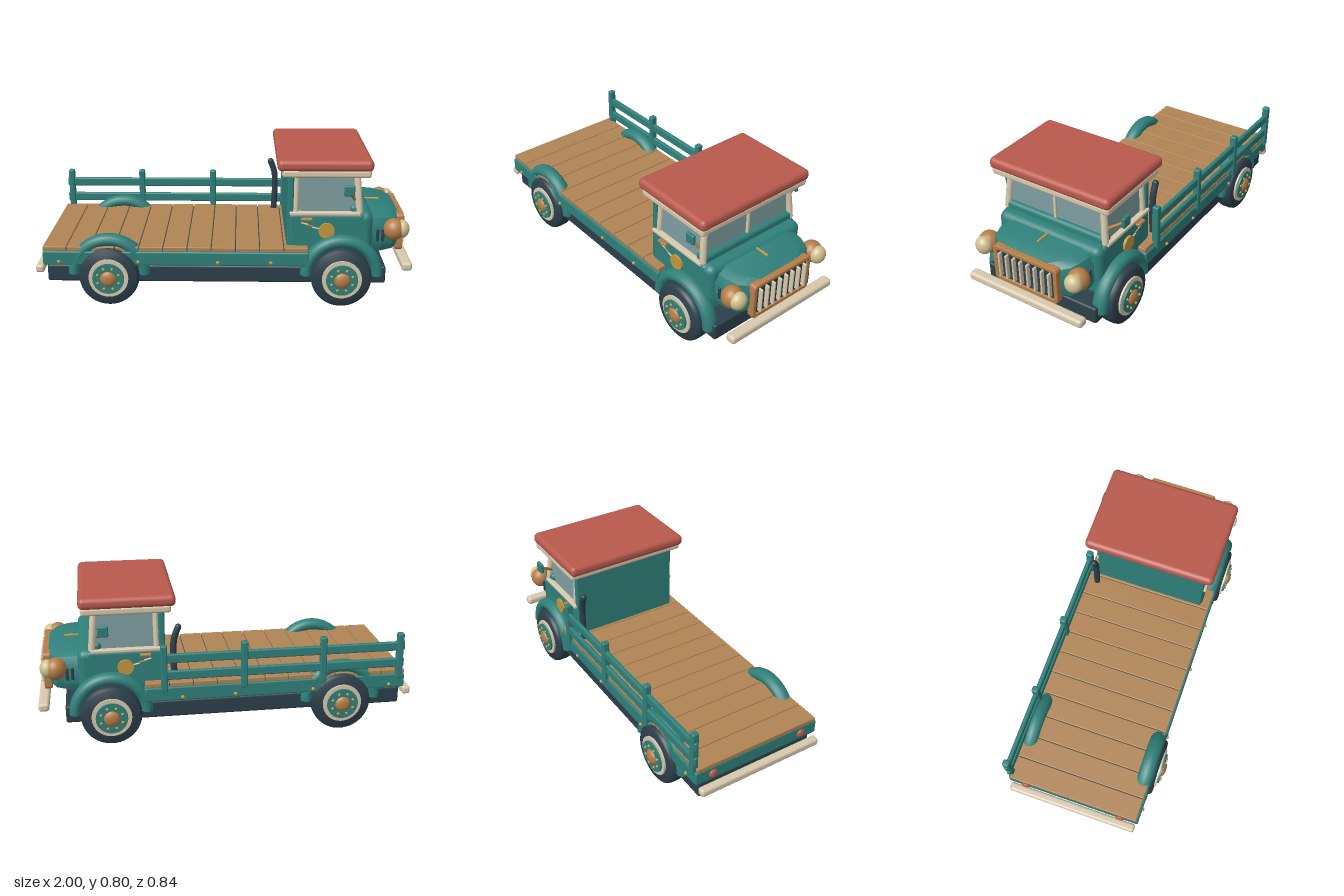
import * as THREE from 'three';
import { RoundedBoxGeometry } from 'three/addons/geometries/RoundedBoxGeometry.js';
import { toCreasedNormals } from 'three/addons/utils/BufferGeometryUtils.js';

const mat = (name, color) => Object.assign(new THREE.MeshStandardMaterial({ color }), { name });

export function createModel() {
  const teal = mat('teal paint', 0x2f807a), wood = mat('plank wood', 0xb08455), copper = mat('copper', 0xb57e48);
  const dark = mat('dark slate', 0x2c3f4a), cream = mat('cream', 0xd8c9ae), red = mat('roof red', 0xb9594d);
  const glass = mat('window glass', 0x7f9fa1), brass = mat('brass', 0xc4963f), lens = mat('lamp lens', 0xd2c190);
  const truck = new THREE.Group();
  truck.name = 'flatbedTruck';

  const add = (name, geo, m, x = 0, y = 0, z = 0, parent = truck) => {
    const mesh = new THREE.Mesh(geo, m);
    mesh.name = name;
    mesh.position.set(x, y, z);
    parent.add(mesh);
    return mesh;
  };
  // Rounded box given by its limits on each axis
  const box = (name, m, x0, x1, y0, y1, z0, z1, r = 0.008) =>
    add(name, new RoundedBoxGeometry(x1 - x0, y1 - y0, z1 - z0, 3, r), m, (x0 + x1) / 2, (y0 + y1) / 2, (z0 + z1) / 2);
  // Disc or drum with its axis along z
  const drum = (name, m, r, depth, x, y, z, parent = truck) =>
    add(name, new THREE.CylinderGeometry(r, r, depth, 32).rotateX(Math.PI / 2), m, x, y, z, parent);
  // Round tube through a few points
  const tube = (name, m, r, pts) => {
    const path = new THREE.CatmullRomCurve3(pts.map(p => new THREE.Vector3(...p)));
    add(name, new THREE.TubeGeometry(path, 16, r, 12), m);
    for (const p of [pts[0], pts[pts.length - 1]]) add(name + 'End', new THREE.SphereGeometry(r, 12, 8), m, ...p);
  };

  // Chassis and bumpers
  box('chassis', dark, -0.94, 0.86, 0.12, 0.215, -0.34, 0.34, 0.012);
  box('frontBumper', cream, 0.942, 0.998, 0.195, 0.24, -0.35, 0.35, 0.016);
  box('rearBumper', cream, -1, -0.955, 0.174, 0.217, -0.36, 0.36, 0.014);

  // Flatbed: side boards, deck and planks
  box('bedFrame', teal, -0.955, 0.45, 0.225, 0.302, -0.37, 0.37);
  box('deckBase', dark, -0.95, 0.44, 0.29, 0.316, -0.35, 0.35, 0.004);
  const pitch = 0.1275;
  for (let i = 0; i < 11; i++) {
    const x = -0.957 + i * pitch;
    box('plank', wood, x + 0.002, x + pitch - 0.002, 0.3, 0.325, -0.36, 0.36, 0.004);
  }
  for (const s of [-1, 1]) {
    for (const x of [-0.87, -0.45, -0.03, 0.25])
      add('boardRivet', new THREE.SphereGeometry(0.01, 12, 8), brass, x, 0.245, s * 0.371);
    const tail = add('tailLamp', new THREE.SphereGeometry(0.025, 16, 12), red, -0.956, 0.263, s * 0.27);
    tail.scale.x = 0.5;
  }

  // Stake fence along the right side
  for (const x of [-0.92, -0.5, -0.077, 0.345]) box('fencePost', teal, x - 0.017, x + 0.017, 0.28, 0.537, -0.382, -0.345);
  for (const y of [0.345, 0.438]) box('fenceRail', teal, -0.945, 0.36, y, y + 0.05, -0.375, -0.352);

  // Wheels and arched fenders
  const tyreProfile = [[0.05, -0.047], [0.145, -0.047], [0.156, -0.038], [0.16, -0.02], [0.16, 0.02], [0.156, 0.038], [0.145, 0.047], [0.05, 0.047]]
    .map(p => new THREE.Vector2(...p));
  const tyreGeo = toCreasedNormals(new THREE.LatheGeometry(tyreProfile, 48).rotateX(Math.PI / 2), 0.7);
  for (const x of [-0.608, 0.624]) for (const s of [-1, 1]) {
    const wheel = new THREE.Group();
    wheel.name = 'wheel';
    wheel.position.set(x, 0.16, s * 0.337);
    if (s < 0) wheel.rotation.y = Math.PI;
    truck.add(wheel);
    add('tyre', tyreGeo, dark, 0, 0, 0, wheel);
    drum('innerHub', dark, 0.07, 0.02, 0, 0, -0.04, wheel);
    drum('whiteWall', cream, 0.105, 0.016, 0, 0, 0.049, wheel);
    drum('wheelDisc', teal, 0.084, 0.014, 0, 0, 0.06, wheel);
    const hub = add('hubCap', new THREE.SphereGeometry(0.043, 24, 12), copper, 0, 0, 0.063, wheel);
    hub.scale.z = 0.5;
    for (let i = 0; i < 8; i++) {
      const a = i * Math.PI / 4 + Math.PI / 8;
      add('wheelBolt', new THREE.SphereGeometry(0.008, 10, 8), brass, 0.06 * Math.cos(a), 0.06 * Math.sin(a), 0.068, wheel);
    }
    const fender = add('fender', new THREE.TorusGeometry(0.187, 0.033, 14, 36, Math.PI), teal, x, 0.17, s * 0.33);
    fender.scale.z = 1.25;
    for (const e of [-1, 1])
      add('fenderEnd', new THREE.SphereGeometry(0.033, 16, 8), teal, x + e * 0.187, 0.17, s * 0.33).scale.set(1, 0.15, 1.25);
  }

  // Cab body, windows and roof
  box('cabBody', teal, 0.34, 0.74, 0.22, 0.5, -0.315, 0.315, 0.02);
  box('cowl', teal, 0.66, 0.785, 0.22, 0.505, -0.315, 0.315, 0.04);
  box('windscreenSill', teal, 0.66, 0.725, 0.47, 0.545, -0.305, 0.305, 0.02);
  box('cabBackWall', teal, 0.332, 0.365, 0.3, 0.73, -0.31, 0.31, 0.01);
  box('cabGlass', glass, 0.36, 0.7, 0.49, 0.72, -0.288, 0.288, 0.01);
  box('windscreenPost', cream, 0.69, 0.712, 0.54, 0.72, -0.008, 0.008, 0.005);
  box('roofTrim', cream, 0.3, 0.757, 0.705, 0.748, -0.352, 0.352, 0.015);
  box('roof', red, 0.275, 0.768, 0.738, 0.8, -0.36, 0.36, 0.026);

  for (const s of [-1, 1]) {
    box('beltTrim', cream, 0.345, 0.715, 0.492, 0.512, s * 0.308 - 0.016, s * 0.308 + 0.016, 0.006);
    tube('frontPillar', cream, 0.018, [[0.71, 0.51, s * 0.3], [0.7, 0.62, s * 0.29], [0.69, 0.72, s * 0.275]]);
    tube('rearPillar', cream, 0.015, [[0.376, 0.51, s * 0.298], [0.378, 0.72, s * 0.285]]);
    // Door ornaments
    drum('doorMedallion', brass, 0.042, 0.02, 0.54, 0.41, s * 0.318);
    box('doorHandle', copper, 0.405, 0.465, 0.467, 0.482, s * 0.324 - 0.013, s * 0.324 + 0.013, 0.006);
    [[0.425, 0.447, cream], [0.453, 0.436, copper], [0.482, 0.424, cream]].forEach(([x, y, m]) => {
      const streak = box('doorStreak', m, x - 0.02, x + 0.02, y - 0.004, y + 0.004, s * 0.315 - 0.006, s * 0.315 + 0.006, 0.003);
      streak.rotation.z = -0.25;
    });
    // Mirror on an angled arm, set wider on the right
    const mz = s > 0 ? 0.33 : -0.38;
    tube('mirrorArm', copper, 0.008, [[0.68, 0.58, s * 0.3], [0.65, 0.63, mz]]);
    box('mirror', teal, 0.622, 0.678, 0.604, 0.662, mz - 0.01, mz + 0.01, 0.008);
  }
  tube('exhaustStack', dark, 0.017, [[0.285, 0.32, -0.305], [0.29, 0.45, -0.305], [0.285, 0.55, -0.305], [0.263, 0.612, -0.305]]);

  // Hood lofted through chamfered sections: [x, half width, bottom, top]
  const sections = [[0.76, 0.285, 0.25, 0.488], [0.84, 0.278, 0.255, 0.483], [0.9, 0.255, 0.26, 0.476], [0.938, 0.2, 0.27, 0.462]];
  const ring = ([x, w, b, t]) => {
    const c = 0.075, d = 0.045;
    return [[w - c, b], [w - 0.02, b + d * 0.5], [w, b + d * 1.4], [w, t - d * 1.6], [w - 0.022, t - d * 0.5], [w - c, t]]
      .flatMap((p, i, a) => [p]).concat([[c - w, t], [0.022 - w, t - d * 0.5], [-w, t - d * 1.6], [-w, b + d * 1.4], [0.02 - w, b + d * 0.5], [c - w, b]])
      .map(([z, y]) => [x, y, z]);
  };
  const rings = sections.map(ring), n = rings[0].length, pos = [];
  for (let k = 0; k < rings.length - 1; k++) for (let i = 0; i < n; i++) {
    const j = (i + 1) % n, a = rings[k][i], b = rings[k][j], c = rings[k + 1][i], d = rings[k + 1][j];
    pos.push(...a, ...b, ...c, ...b, ...d, ...c);
  }
  const nose = rings[rings.length - 1];
  for (let i = 1; i < n - 1; i++) pos.push(...nose[0], ...nose[i + 1], ...nose[i]);
  // Orient every triangle away from the hood's core
  const core = new THREE.Vector3(0.83, 0.37, 0), tri = new THREE.Triangle(), mid = new THREE.Vector3(), nor = new THREE.Vector3();
  for (let i = 0; i < pos.length; i += 9) {
    tri.a.fromArray(pos, i); tri.b.fromArray(pos, i + 3); tri.c.fromArray(pos, i + 6);
    if (tri.getNormal(nor).dot(tri.getMidpoint(mid).sub(core)) < 0) { tri.c.toArray(pos, i + 3); tri.b.toArray(pos, i + 6); }
  }
  const hoodGeo = new THREE.BufferGeometry();
  hoodGeo.setAttribute('position', new THREE.Float32BufferAttribute(pos, 3));
  add('hood', toCreasedNormals(hoodGeo, 0.5), teal);
  box('hoodStrip', brass, 0.775, 0.855, 0.478, 0.492, -0.006, 0.006, 0.004);

  // Grille: frame with an opening, dark panel and bars
  const rect = (P, w, h, r) => {
    const p = new P();
    p.absarc(w - r, h - r, r, 0, Math.PI / 2);
    p.absarc(r - w, h - r, r, Math.PI / 2, Math.PI);
    p.absarc(r - w, r - h, r, Math.PI, Math.PI * 1.5);
    p.absarc(w - r, r - h, r, Math.PI * 1.5, Math.PI * 2);
    p.closePath();
    return p;
  };
  const frame = rect(THREE.Shape, 0.19, 0.098, 0.015);
  frame.holes.push(rect(THREE.Path, 0.177, 0.085, 0.006));
  const frameGeo = new THREE.ExtrudeGeometry(frame, { depth: 0.03, bevelSize: 0.005, bevelThickness: 0.005, bevelSegments: 2, curveSegments: 6 });
  add('grilleFrame', frameGeo.rotateY(Math.PI / 2), copper, 0.932, 0.358, 0);
  box('grillePanel', dark, 0.925, 0.958, 0.272, 0.444, -0.18, 0.18, 0.004);
  for (let i = 0; i < 8; i++) {
    const z = (i - 3.5) * 0.0433;
    box('grilleBar', cream, 0.952, 0.98, 0.288, 0.43, z - 0.006, z + 0.006, 0.005);
  }

  // Headlamps and hood vents
  for (const s of [-1, 1]) {
    add('headlampShell', new THREE.SphereGeometry(0.056, 28, 20), copper, 0.9, 0.405, s * 0.276).scale.y = 1.05;
    add('headlampLens', new THREE.SphereGeometry(0.046, 28, 20), lens, 0.942, 0.408, s * 0.276).scale.set(0.85, 1.05, 1);
    for (const x of [0.815, 0.843]) box('hoodVent', dark, x - 0.008, x + 0.008, 0.338, 0.408, s * 0.28 - 0.007, s * 0.28 + 0.007, 0.006);
  }
  return truck;
}
